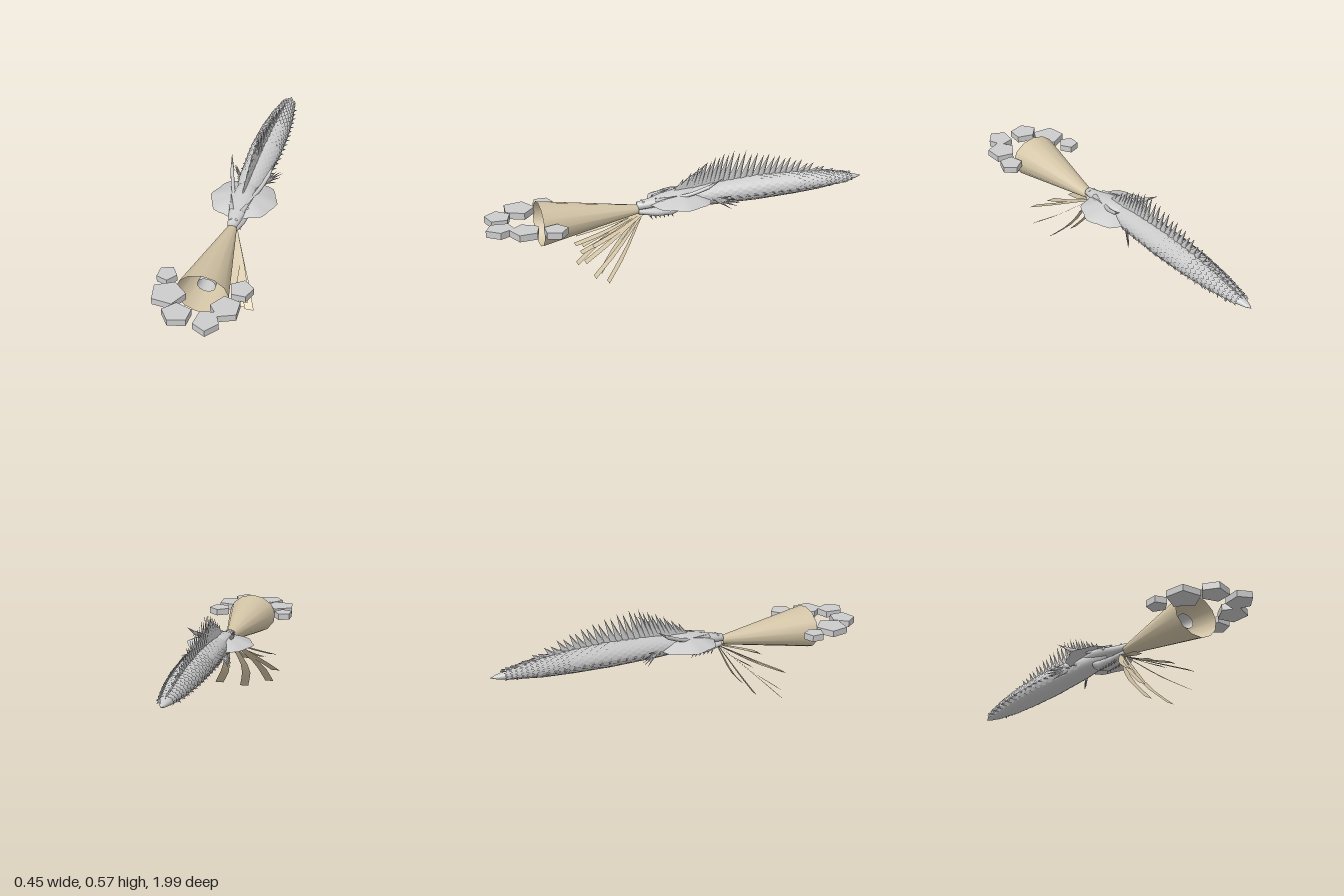
import * as THREE from 'three';
import { mergeGeometries } from 'three/addons/utils/BufferGeometryUtils.js';

const grey = new THREE.MeshStandardMaterial({ name: 'stoneGrey', color: 0xcccccc, side: THREE.DoubleSide });
const sand = new THREE.MeshStandardMaterial({ name: 'sand', color: 0xd3c4a6, side: THREE.DoubleSide });
const V = (x, y, z) => new THREE.Vector3(x, y, z);
const UP = V(0, 1, 0);

// Grid of points (rows x columns) turned into a surface
function surface(rows, closed) {
  const n = rows[0].length, index = [];
  for (let i = 0; i < rows.length - 1; i++) {
    for (let j = 0; j < (closed ? n : n - 1); j++) {
      const a = i * n + j, b = i * n + (j + 1) % n;
      index.push(a, a + n, b, a + n, b + n, b);
    }
  }
  const g = new THREE.BufferGeometry().setFromPoints(rows.flat());
  g.setIndex(index);
  g.computeVertexNormals();
  return g;
}

// Elliptical rings along z; each station is [z, centre y, half width, half height], front to back
function loft(stations, sides) {
  return surface(stations.map(([z, y, rx, ry]) => Array.from({ length: sides }, (_, j) => {
    const a = j / sides * Math.PI * 2 + Math.PI / 2;
    return V(Math.cos(a) * rx, y + Math.sin(a) * ry, z);
  })), true);
}

// Interpolated body section at a given z
const bodyStations = [
  [0.1, 0.345, 0.03, 0.03], [0, 0.355, 0.05, 0.042], [-0.15, 0.362, 0.066, 0.055],
  [-0.4, 0.367, 0.078, 0.062], [-0.6, 0.366, 0.072, 0.056], [-0.75, 0.362, 0.058, 0.045],
  [-0.9, 0.358, 0.034, 0.024], [-0.97, 0.356, 0.014, 0.01], [-1, 0.356, 0, 0],
];
function bodyAt(z) {
  let i = 0;
  while (i < bodyStations.length - 2 && z < bodyStations[i + 1][0]) i++;
  const p = bodyStations[i], q = bodyStations[i + 1], t = (z - p[0]) / (q[0] - p[0]);
  return p.map((v, k) => v + (q[k] - v) * t);
}

// Cone from a base point to a tip, squashed sideways by flat
function spike(base, tip, r, sides = 5, flat = 1) {
  const d = tip.clone().sub(base), g = new THREE.ConeGeometry(r, d.length(), sides, 1, true);
  g.translate(0, d.length() / 2, 0);
  g.scale(flat, 1, 1);
  g.applyQuaternion(new THREE.Quaternion().setFromUnitVectors(UP, d.normalize()));
  return g.translate(base.x, base.y, base.z);
}

export function createModel() {
  const model = new THREE.Group();
  const add = (name, geometry, material = grey) => {
    const m = new THREE.Mesh(geometry, material);
    m.name = name;
    model.add(m);
    return m;
  };

  // Tapering body
  add('body', loft(bodyStations, 24));

  // Overlapping scales over the back and flanks
  const scales = [];
  for (let row = 0; row < 34; row++) {
    const z = -0.08 - row * 0.025, [, cy, rx, ry] = bodyAt(z);
    for (let k = 0; k < 11; k++) {
      const a = (-0.12 + 1.24 * (k + (row % 2) * 0.5) / 10.5) * Math.PI;
      const n = V(Math.cos(a) / rx, Math.sin(a) / ry, 0).normalize();
      const back = V(0, 0, -1).addScaledVector(n, 0.16).normalize();
      const side = back.clone().cross(n).normalize();
      const g = new THREE.CircleGeometry(1, 6, 0, Math.PI);
      g.scale(rx * 0.19, 0.034, 1);
      g.applyMatrix4(new THREE.Matrix4().makeBasis(side, back, side.clone().cross(back)));
      g.translate(Math.cos(a) * rx, cy + Math.sin(a) * ry, z);
      scales.push(g);
    }
  }
  add('scales', mergeGeometries(scales));

  // Tall dorsal spines, leaning back
  const crest = new THREE.CatmullRomCurve3([
    V(0, 0.46, -0.02), V(0, 0.53, -0.14), V(0, 0.575, -0.27), V(0, 0.545, -0.45),
    V(0, 0.5, -0.62), V(0, 0.43, -0.8), V(0, 0.375, -0.94)]);
  const spines = [];
  for (let i = 0; i <= 34; i++) {
    const tip = crest.getPoint(i / 34);
    tip.y -= (i % 2) * 0.012;
    const z = Math.min(tip.z + 0.05, 0.02), s = bodyAt(z);
    spines.push(spike(V(0, s[1] + s[3] - 0.01, z), tip, 0.02, 6, 0.3));
  }
  add('dorsalSpines', mergeGeometries(spines));

  // Small thorns along the flanks, side fins and horns
  const thorns = [], fins = [], horns = [];
  for (const s of [-1, 1]) {
    for (let i = 0; i < 18; i++) {
      const z = -0.1 - i * 0.045, [, y, rx] = bodyAt(z);
      thorns.push(spike(V(s * (rx - 0.006), y - 0.008, z), V(s * (rx + 0.018), y - 0.012, z - 0.022), 0.008, 4));
    }
    for (let i = 0; i < 5; i++) {
      const t = i / 4;
      fins.push(spike(V(s * 0.06, 0.35, -0.17),
        V(s * (0.105 + 0.025 * Math.sin(t * 3)), 0.305 + 0.075 * t, -0.24 - 0.04 * Math.sin(t * Math.PI)), 0.012, 5, 0.6));
    }
    horns.push(new THREE.TubeGeometry(new THREE.CatmullRomCurve3([
      V(s * 0.03, 0.37, 0.06), V(s * 0.07, 0.4, -0.04), V(s * 0.095, 0.435, -0.12)]), 8, 0.01, 6));
    horns.push(spike(V(s * 0.093, 0.432, -0.115), V(s * 0.116, 0.482, -0.19), 0.01, 6));
  }
  add('flankThorns', mergeGeometries(thorns));
  add('sideFins', mergeGeometries(fins));
  add('horns', mergeGeometries(horns));

  // Thin scalloped frill around the head
  const frill = [];
  for (let i = 0; i <= 5; i++) {
    frill.push(Array.from({ length: 32 }, (_, j) => {
      const a = j / 32 * Math.PI * 2, t = i / 5;
      const r = t * (1 + 0.04 * Math.cos(a * 8));
      return V(Math.cos(a) * r * 0.165, 0.395 - 0.042 * t * t, 0.005 - Math.sin(a) * r * 0.165);
    }));
  }
  add('frill', surface(frill, true));

  // Skull, lower jaw, brows and eyes
  add('skull', loft([[0.225, 0.345, 0, 0], [0.222, 0.345, 0.024, 0.02], [0.16, 0.352, 0.036, 0.023],
    [0.09, 0.362, 0.055, 0.03], [0.02, 0.372, 0.06, 0.032], [-0.06, 0.378, 0.05, 0.03], [-0.12, 0.38, 0, 0]], 14));
  add('lowerJaw', loft([[0.222, 0.315, 0, 0], [0.215, 0.315, 0.022, 0.014], [0.13, 0.305, 0.04, 0.022],
    [0.05, 0.308, 0.046, 0.027], [0, 0.325, 0.04, 0.026], [-0.05, 0.345, 0, 0]], 14));
  const chin = [];
  for (const s of [-1, 1]) {
    add('brow', spike(V(s * 0.025, 0.37, 0.135), V(s * 0.058, 0.395, 0.03), 0.014, 6));
    add('eye', new THREE.SphereGeometry(0.011, 10, 8)).position.set(s * 0.044, 0.368, 0.1);
    add('nostril', new THREE.SphereGeometry(0.007, 8, 6)).position.set(s * 0.013, 0.364, 0.195);
    for (let i = 0; i < 6; i++) {
      const z = 0.05 + i * 0.022;
      chin.push(spike(V(s * 0.022, 0.292, z), V(s * 0.024, 0.272, z - 0.008), 0.006, 4));
    }
  }
  add('chinSpikes', mergeGeometries(chin));

  // Wide open breath cone with a narrow one inside
  add('breathCone', loft([[0.72, 0.318, 0.128, 0.108], [0.22, 0.328, 0.024, 0.022]], 13), sand);
  add('innerCone', loft([[0.65, 0.317, 0.045, 0.036], [0.22, 0.328, 0.006, 0.006]], 16));

  // Ribbons falling from the mouth: [middle x, y, z], [end x, y, z]
  const ribbons = [
    [-0.09, 0.225, 0.36, -0.165, 0.162, 0.5], [-0.13, 0.175, 0.34, -0.19, 0.086, 0.46],
    [-0.12, 0.13, 0.38, -0.147, 0.01, 0.5], [-0.06, 0.2, 0.38, -0.1, 0.138, 0.52],
    [-0.06, 0.13, 0.31, -0.028, 0.002, 0.41], [0.005, 0.2, 0.38, -0.018, 0.127, 0.51],
    [0.055, 0.24, 0.35, 0.07, 0.192, 0.47], [0.05, 0.12, 0.31, 0.11, 0.01, 0.41],
    [0.095, 0.165, 0.36, 0.16, 0.071, 0.49], [0.09, 0.22, 0.38, 0.14, 0.147, 0.53],
  ];
  for (const [mx, my, mz, ex, ey, ez] of ribbons) {
    const curve = new THREE.CatmullRomCurve3([V(mx * 0.15, 0.305, 0.2), V(mx, my, mz), V(ex, ey, ez)]);
    const rows = Array.from({ length: 6 }, (_, i) => {
      const p = curve.getPoint(i / 5), w = 0.009 + 0.0135 * Math.min(1, i / 3);
      return [V(p.x - w, p.y, p.z), V(p.x + w, p.y, p.z)];
    });
    add('ribbon', surface(rows, false), sand);
  }

  // Five-sided slabs in an arc before the cone: x, z, half width, half depth, turn
  const slabs = [
    [-0.185, 0.66, 0.047, 0.05, 0.3], [-0.14, 0.79, 0.08, 0.077, 0.5], [-0.061, 0.907, 0.068, 0.062, 0.9],
    [0.082, 0.924, 0.058, 0.068, 0.2], [0.14, 0.815, 0.068, 0.071, 1.0], [0.174, 0.677, 0.055, 0.058, 0.6],
  ];
  for (const [x, z, w, d, turn] of slabs) {
    const g = new THREE.CylinderGeometry(1, 1, 0.033, 5).rotateY(turn).toNonIndexed();
    g.scale(w * 1.05, 1, d * 1.05);
    g.computeVertexNormals();
    add('slab', g).position.set(x, 0.341, z);
  }
  return model;
}
